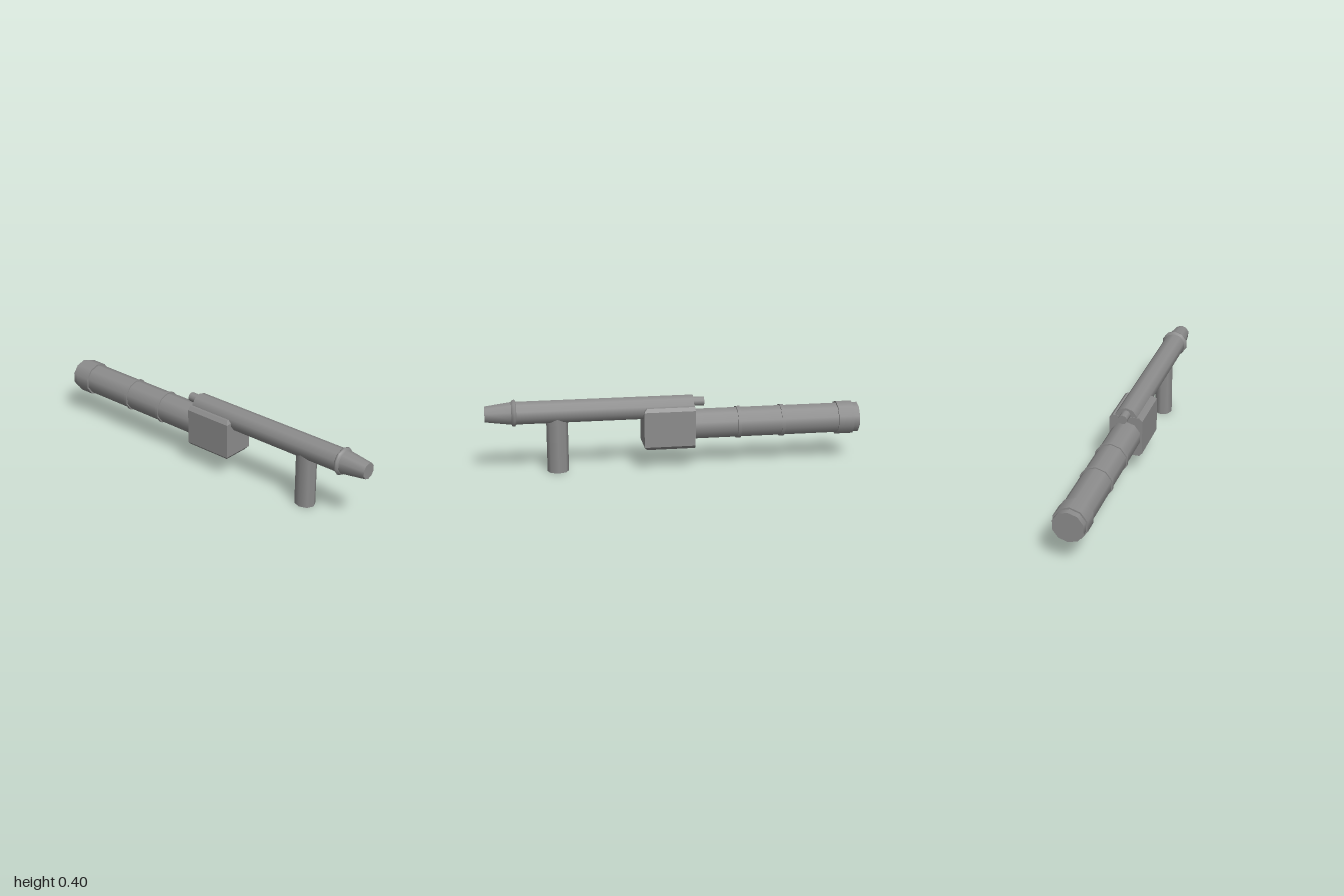
import * as THREE from 'three';
import { ConvexGeometry } from 'three/addons/geometries/ConvexGeometry.js';

const SIDES = 10;
const UPPER_Y = 0.327; // axis of the slim front tube
const LOWER_Y = 0.227; // axis of the thick rear tube

export function createModel() {
  const group = new THREE.Group();
  const grey = new THREE.MeshStandardMaterial({ color: 0x8c8c8c });
  const flatGrey = new THREE.MeshStandardMaterial({ color: 0x8c8c8c, flatShading: true });

  function add(name, geometry, material = grey) {
    const mesh = new THREE.Mesh(geometry, material);
    mesh.name = name;
    group.add(mesh);
  }

  // Ten-sided tube along x, from x0 (radius r0) to x1 (radius r1), a corner on top
  function tube(name, x0, x1, y, r0, r1 = r0) {
    const g = new THREE.CylinderGeometry(r1, r0, x1 - x0, SIDES, 1, false, Math.PI / 2);
    g.rotateZ(-Math.PI / 2).translate((x0 + x1) / 2, y, 0);
    add(name, g);
  }

  // Rear tube with end cap and two bands
  tube('rearTube', -1, 0.1, LOWER_Y, 0.083);
  tube('rearCap', -0.968, -0.883, LOWER_Y, 0.092);
  for (const x of [-0.58, -0.342]) tube('rearBand', x - 0.009, x + 0.009, LOWER_Y, 0.089);

  // Front tube with pin and tapered nozzle
  tube('frontTube', -0.097, 0.86, UPPER_Y, 0.062);
  tube('rearPin', -0.157, -0.08, 0.351, 0.025);
  tube('nozzle', 0.86, 1, UPPER_Y, 0.062, 0.043);

  // Bevelled collar where the nozzle begins
  const profile = [[0.062, -0.013], [0.073, -0.005], [0.073, 0.005], [0.062, 0.013]];
  const collar = new THREE.LatheGeometry(
    profile.map(([r, h]) => new THREE.Vector2(r, h)), SIDES, Math.PI / 2);
  collar.rotateZ(-Math.PI / 2).translate(0.849, UPPER_Y, 0);
  add('collar', collar);

  // Housing: long edges chamfered, and the top and bottom edges of its +x end
  const corners = [];
  for (const sy of [-1, 1]) {
    for (const sz of [-1, 1]) {
      for (const [x, dy, z] of [
        [-0.1, 0.113, 0.073], [-0.1, 0.095, 0.09],
        [0.157, 0.113, 0.073], [0.172, 0.095, 0.09],
      ]) corners.push(new THREE.Vector3(x, LOWER_Y + sy * dy, sz * z));
    }
  }
  add('housing', new ConvexGeometry(corners), flatGrey);

  // Upright grip below the front tube, slightly narrower in z
  const grip = new THREE.CylinderGeometry(0.057, 0.057, 0.3, 8);
  grip.scale(1, 1, 0.05 / 0.057).translate(0.624, 0.15, 0);
  add('grip', grip);

  return group;
}
